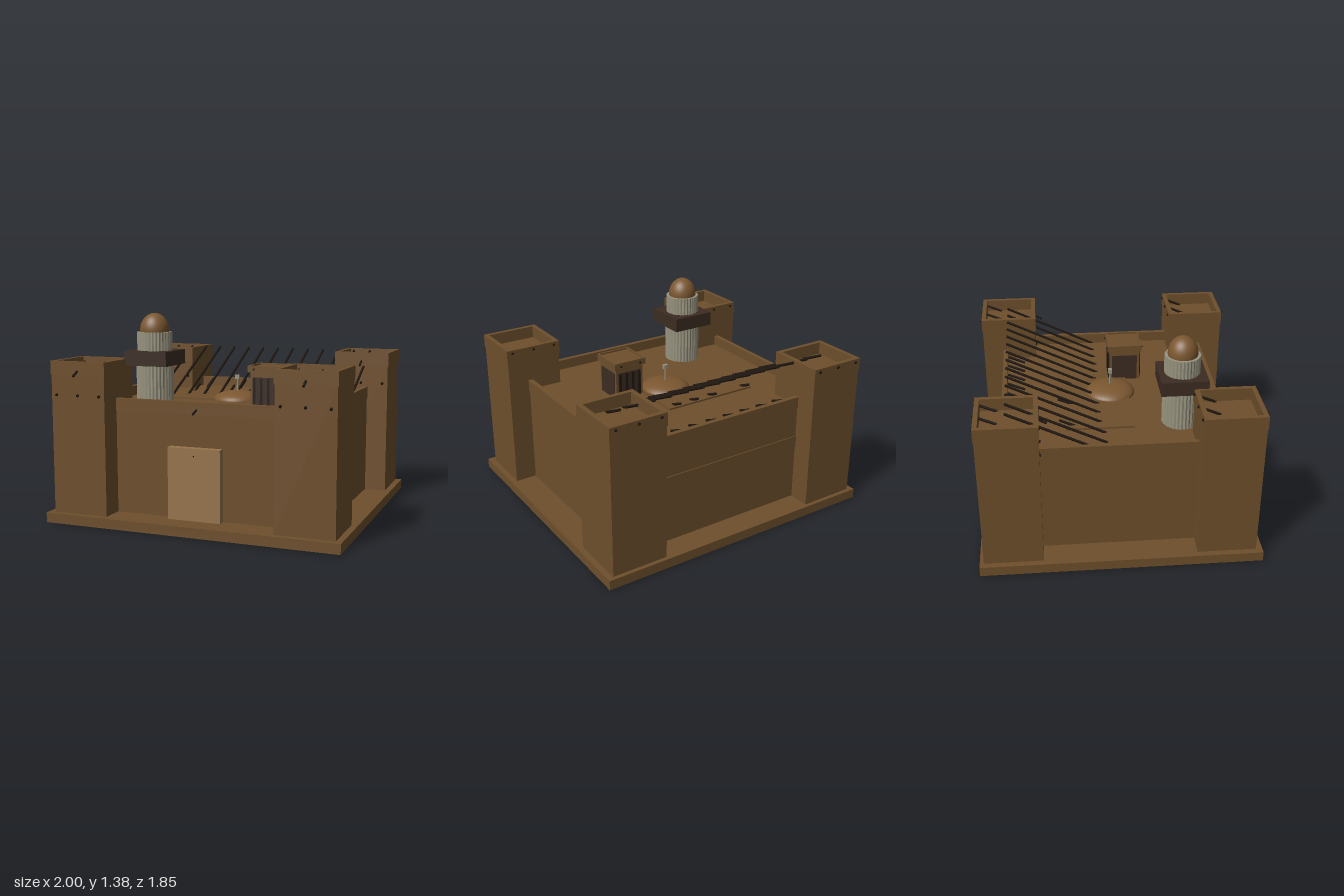
import * as THREE from 'three';

const mat = (name, color, extra) => {
  const m = new THREE.MeshStandardMaterial({ color });
  m.name = name;
  return m;
};

export function createModel() {
  const root = new THREE.Group();
  root.name = 'adobeFort';
  const mud = mat('mudBrown', 0x6e4f2c);
  const tan = mat('tanWood', 0x96744c);
  const timber = mat('darkTimber', 0x1f1711);
  const umber = mat('umberWood', 0x3c2c22);
  const stone = mat('greyStone', 0x97937f);
  const domeMat = mat('domeBrown', 0x7b5730);

  const add = (name, geo, material, x = 0, y = 0, z = 0, parent = root) => {
    const m = new THREE.Mesh(geo, material);
    m.name = name;
    m.position.set(x, y, z);
    parent.add(m);
    return m;
  };
  // box given by its limits on each axis
  const box = (name, material, x0, x1, y0, y1, z0, z1, parent = root) =>
    add(name, new THREE.BoxGeometry(x1 - x0, y1 - y0, z1 - z0), material,
      (x0 + x1) / 2, (y0 + y1) / 2, (z0 + z1) / 2, parent);
  // hollow rectangular rim
  const rim = (name, material, x0, x1, y0, y1, z0, z1, t, parent = root) => {
    const g = new THREE.Group();
    g.name = name;
    box('rimFront', material, x0, x1, y0, y1, z1 - t, z1, g);
    box('rimBack', material, x0, x1, y0, y1, z0, z0 + t, g);
    box('rimLeft', material, x1 - t, x1, y0, y1, z0 + t, z1 - t, g);
    box('rimRight', material, x0, x0 + t, y0, y1, z0 + t, z1 - t, g);
    parent.add(g);
  };
  // round beam in the yz plane from (y0, z0) down to (y1, z1)
  const beam = (name, x, y0, z0, y1, z1, r = 0.009, parent = root) => {
    const len = Math.hypot(y1 - y0, z1 - z0);
    const m = add(name, new THREE.CylinderGeometry(r, r, len, 8), timber,
      x, (y0 + y1) / 2, (z0 + z1) / 2, parent);
    m.rotation.x = Math.atan2(z1 - z0, y1 - y0);
  };

  // plinth and its underside panel
  box('plinth', mud, -1, 1, 0.004, 0.07, -0.92, 0.92);
  box('undersidePanel', tan, -0.58, 0.58, 0, 0.006, -0.57, 0.57);

  // main block, parapet and rear string course
  box('mainBlock', mud, -0.81, 0.81, 0.07, 0.76, -0.745, 0.72);
  rim('parapet', mud, -0.815, 0.815, 0.75, 0.83, -0.75, 0.725, 0.033);
  box('rearBand', mud, -0.6, 0.6, 0.455, 0.54, -0.752, -0.74);

  // corner towers with recessed tops
  for (const sx of [-1, 1]) {
    for (const zc of [-0.7, 0.685]) {
      const t = new THREE.Group();
      t.name = 'cornerTower';
      t.position.set(sx * 0.765, 0, zc);
      root.add(t);
      box('towerShaft', mud, -0.193, 0.193, 0.07, 0.992, -0.193, 0.193, t);
      rim('towerCrown', mud, -0.197, 0.197, 0.985, 1.075, -0.197, 0.197, 0.03, t);
      for (const x of [-0.155, 0, 0.155]) {
        beam('crownBeam', x, 1.055, -0.205, 0.992, -0.06, 0.009, t);
        beam('towerPeg', x, 0.862, 0.18, 0.852, 0.202, 0.009, t);
      }
      beam('frontSpout', 0, 1.02, 0.18, 0.985, 0.245, 0.008, t);
    }
  }

  // front door with pegs
  box('door', tan, -0.18, 0.18, 0.07, 0.54, 0.715, 0.775);
  beam('doorPeg', 0, 0.492, 0.77, 0.49, 0.778, 0.004);
  beam('wallSpout', 0, 0.785, 0.71, 0.76, 0.78, 0.007);

  // slanting roof beams
  for (let i = 0; i < 14; i++) beam('roofBeam', -0.78 + i * 0.12, 1.07, -0.71, 0.755, -0.07);
  // short pegs along the rear parapet
  for (let i = 0; i < 8; i++) beam('parapetPeg', -0.48 + i * 0.137, 0.815, -0.71, 0.765, -0.595);

  // raised roof panel with pegs
  box('roofPanel', mud, -0.5, 0.18, 0.755, 0.772, -0.33, 0.12);
  for (const x of [-0.45, -0.17, -0.02, 0.12]) beam('panelPeg', x, 0.81, -0.37, 0.765, -0.27);

  // low dome with finial
  const low = add('lowDome', new THREE.SphereGeometry(0.17, 32, 10, 0, Math.PI * 2, 0, Math.PI / 2), domeMat, 0, 0.76, 0);
  low.scale.y = 0.38;
  add('finialStem', new THREE.CylinderGeometry(0.005, 0.008, 0.1, 8), stone, 0, 0.86, 0);
  add('finialHead', new THREE.BoxGeometry(0.03, 0.03, 0.025), stone, 0, 0.92, 0);

  // minaret: fluted drums, balcony and cap
  const mx = -0.43, mz = 0.43;
  const fluted = (r, h) => {
    const s = new THREE.Shape();
    for (let i = 0; i < 64; i++) {
      const a = i / 64 * Math.PI * 2, q = i % 2 ? r : r * 0.96;
      s[i ? 'lineTo' : 'moveTo'](Math.cos(a) * q, Math.sin(a) * q);
    }
    return new THREE.ExtrudeGeometry(s, { depth: h, bevelEnabled: false }).rotateX(-Math.PI / 2);
  };
  add('minaretDrum', fluted(0.125, 0.28), stone, mx, 0.755, mz);
  box('minaretBalcony', umber, mx - 0.153, mx + 0.153, 1.03, 1.127, mz - 0.153, mz + 0.153);
  add('minaretUpperDrum', fluted(0.118, 0.125), stone, mx, 1.125, mz);
  const cap = add('minaretCap', new THREE.SphereGeometry(0.098, 32, 20), domeMat, mx, 1.26, mz);
  cap.scale.y = 1.18;

  // roof kiosk with slatted openings
  const k = new THREE.Group();
  k.name = 'kiosk';
  k.position.set(0.283, 0, 0.118);
  root.add(k);
  box('kioskBody', mud, -0.105, 0.105, 0.755, 0.985, -0.105, 0.105, k);
  box('kioskRoof', mud, -0.12, 0.12, 0.98, 1.012, -0.12, 0.12, k);
  rim('kioskRoofRim', mud, -0.12, 0.12, 0.985, 1.024, -0.12, 0.12, 0.012, k);
  for (let i = 0; i < 4; i++) {
    const side = new THREE.Group();
    side.name = 'kioskOpening';
    side.rotation.y = i * Math.PI / 2;
    k.add(side);
    box('openingPanel', umber, -0.088, 0.088, 0.76, 0.945, 0.1, 0.109, side);
    if (i % 2 === 0) {
      for (let j = 0; j < 4; j++) {
        const x = -0.075 + j * 0.05;
        box('openingSlat', timber, x - 0.009, x + 0.009, 0.76, 0.94, 0.108, 0.114, side);
      }
      for (const x of [-0.075, 0.075]) {
        add('kioskPeg', new THREE.CylinderGeometry(0.007, 0.007, 0.02, 8).rotateX(Math.PI / 2), timber, x, 1.0, 0.12, side);
      }
    }
  }
  return root;
}
